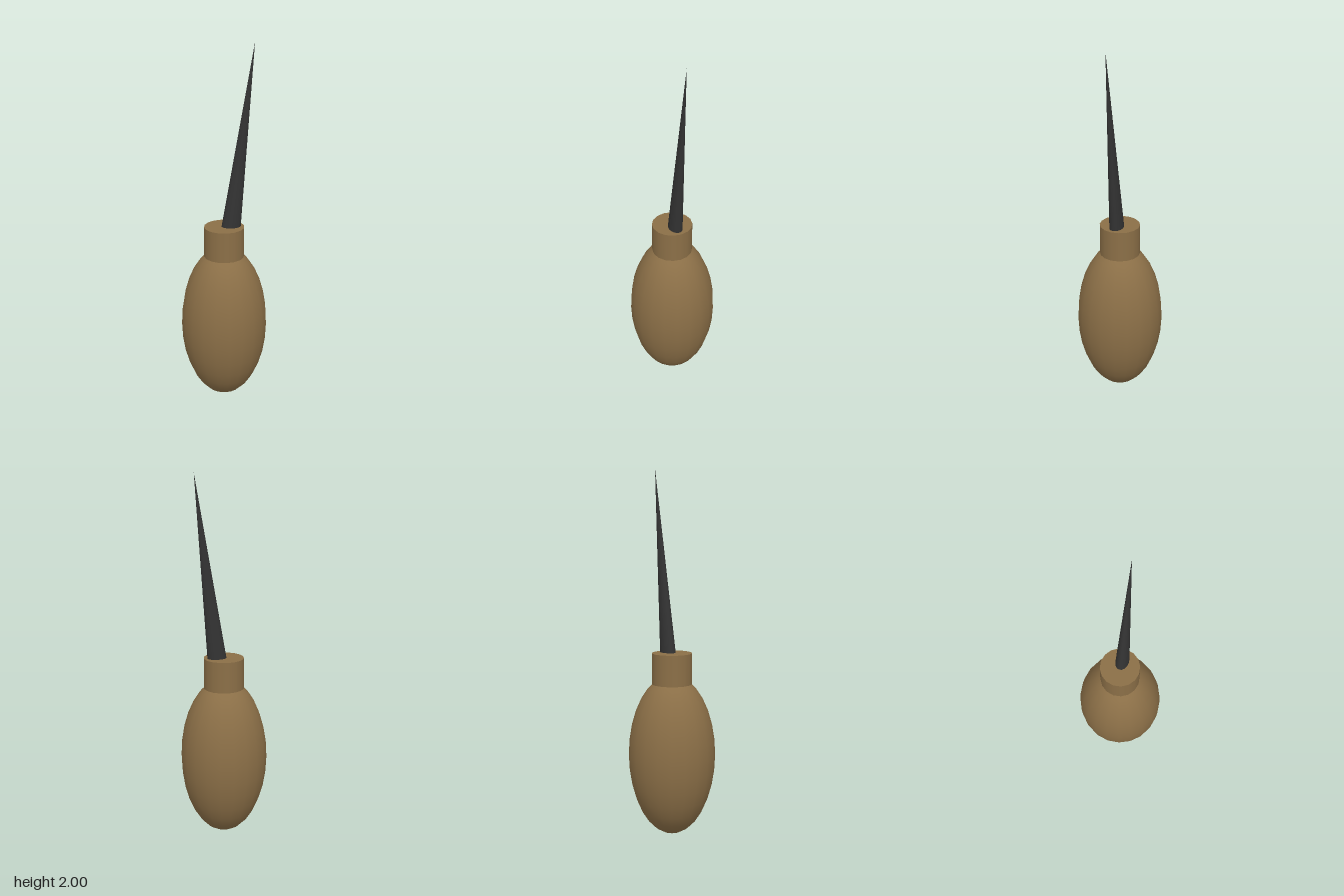
import * as THREE from 'three';

export function createModel() {
  const group = new THREE.Group();
  const wood = new THREE.MeshStandardMaterial({ color: 0x8b6f47 });
  wood.name = 'wood';
  const steel = new THREE.MeshStandardMaterial({ color: 0x333333 });
  steel.name = 'dark steel';

  const add = (name, geometry, material) => {
    const mesh = new THREE.Mesh(geometry, material);
    mesh.name = name;
    group.add(mesh);
    return mesh;
  };

  // Egg-shaped grip
  const grip = new THREE.SphereGeometry(1, 20, 16);
  grip.scale(0.238, 0.445, 0.238);
  add('grip', grip, wood).position.y = 0.445;

  // Short collar on top of the grip
  add('collar', new THREE.CylinderGeometry(0.11, 0.11, 0.17, 16), wood).position.y = 0.925;

  // Flattened spike, leaning to one side, its foot sunk into the collar
  const foot = new THREE.Vector2(0.034, 0.97);
  const tip = new THREE.Vector2(0.158, 2);
  const axis = tip.clone().sub(foot);
  const blade = new THREE.CylinderGeometry(0.001, 1, axis.length(), 16);
  const p = blade.attributes.position;
  for (let i = 0; i < p.count; i++) {
    p.setXYZ(i, p.getX(i) * 0.0545, p.getY(i), p.getZ(i) * 0.038);
  }
  blade.computeVertexNormals();
  const spike = add('spike', blade, steel);
  spike.position.set((foot.x + tip.x) / 2, (foot.y + tip.y) / 2, 0);
  spike.rotation.z = -Math.atan2(axis.x, axis.y);

  return group;
}
